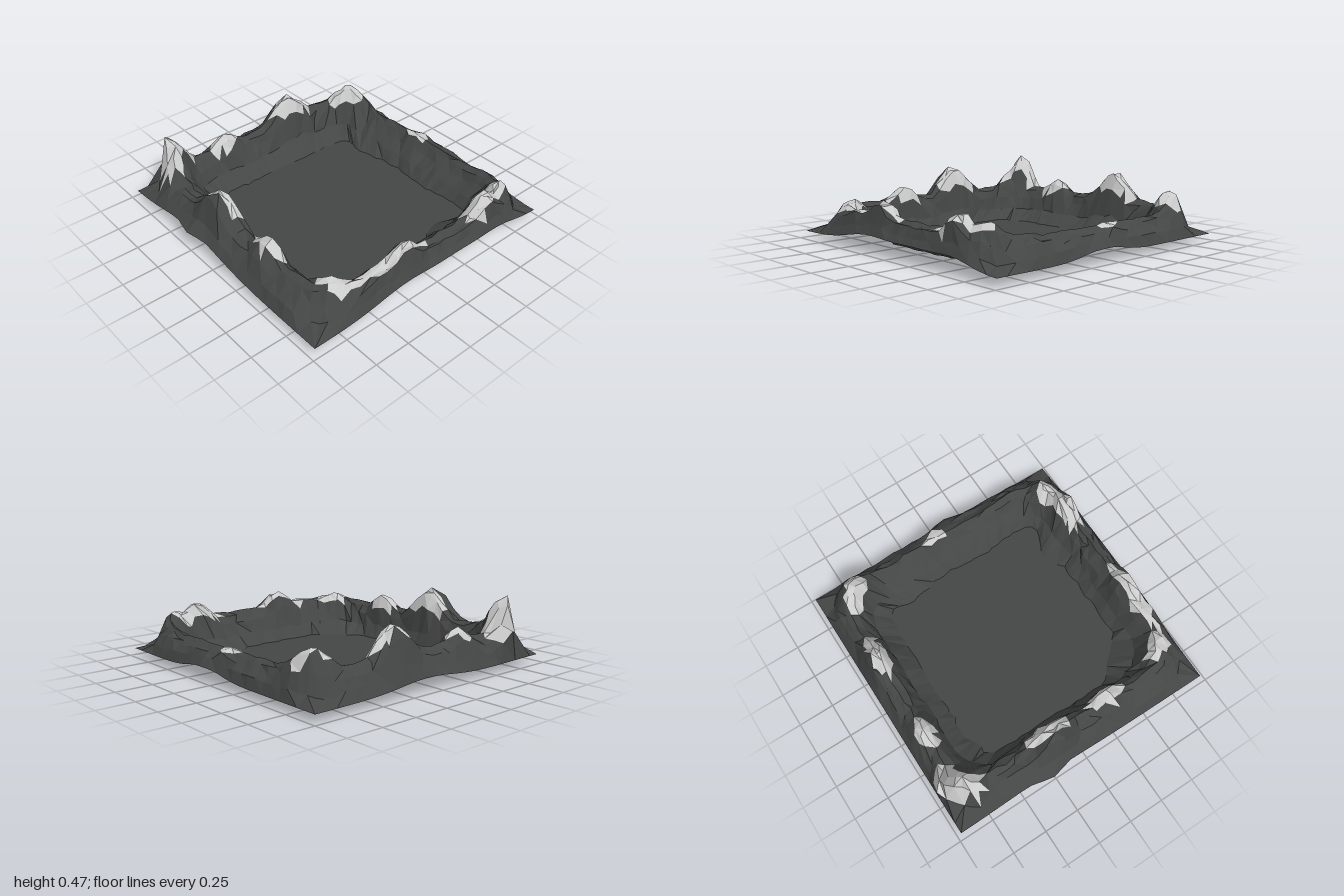
import * as THREE from 'three';

const N = 25; // segments per side of the basin

// Rings from outer edge to floor: left, right, back, front, height, corner radius, peak share, roughness
const RINGS = [
  [-0.97, 0.97, -0.975, 0.965, 0, 0, 0, 0],
  [-0.935, 0.945, -0.95, 0.92, 0.12, 0.26, 0.35, 0.006],
  [-0.905, 0.92, -0.92, 0.86, 0.18, 0.27, 0.85, 0.01],
  [-0.87, 0.89, -0.88, 0.81, 0.215, 0.26, 1, 0.012],
  [-0.83, 0.86, -0.85, 0.77, 0.235, 0.24, 1, 0.012],
  [-0.795, 0.83, -0.82, 0.735, 0.21, 0.23, 1, 0.012],
  [-0.76, 0.79, -0.78, 0.71, 0.16, 0.21, 0.7, 0.012],
  [-0.715, 0.74, -0.71, 0.685, 0.075, 0.18, 0.2, 0.012],
  [-0.6, 0.67, -0.64, 0.635, 0, 0.09, 0, 0.012],
];

// Peaks: x, z, top height, reach
const PEAKS = [
  [-0.84, 0.74, 0.49, 0.15], [-0.75, 0.77, 0.33, 0.13], [-0.18, 0.78, 0.41, 0.23],
  [0.29, 0.77, 0.32, 0.14], [0.75, 0.66, 0.28, 0.15], [0.86, 0.18, 0.33, 0.16],
  [0.86, 0.42, 0.25, 0.15], [0.84, -0.55, 0.35, 0.16], [0.8, -0.74, 0.31, 0.12],
  [-0.72, -0.79, 0.35, 0.17], [-0.82, -0.26, 0.41, 0.22], [-0.83, 0.3, 0.31, 0.14],
  [-0.04, -0.86, 0.25, 0.1],
];

// Pale caps: x, z, half width, half depth
const CAPS = [
  [-0.88, 0.66, 0.09, 0.13], [-0.79, 0.77, 0.12, 0.08], [-0.19, 0.76, 0.17, 0.06],
  [0.29, 0.765, 0.14, 0.065], [0.75, 0.65, 0.14, 0.08], [0.865, 0.28, 0.05, 0.29],
  [0.86, -0.49, 0.07, 0.13], [0.82, -0.67, 0.07, 0.13], [-0.69, -0.82, 0.08, 0.08],
  [-0.74, -0.7, 0.08, 0.11], [-0.82, -0.28, 0.065, 0.17], [-0.83, 0.32, 0.06, 0.12],
  [-0.04, -0.86, 0.08, 0.055],
];

// Swells of the outer edge: x, z, height, reach
const SWELLS = [
  [-0.3, 0.965, 0.09, 0.42], [0.97, 0.22, 0.07, 0.32], [0.97, -0.25, 0.05, 0.25],
  [0.97, -0.6, 0.055, 0.22], [0.1, -0.975, 0.05, 0.22], [-0.97, -0.1, 0.04, 0.3],
];

// Places where the floor outline shifts: x, z, shift in x, shift in z, reach
const FLOOR_SHIFTS = [
  [0.64, 0.6, -0.12, -0.12, 0.24], [0.66, -0.4, -0.09, 0, 0.18], [-0.58, 0.56, 0.04, -0.03, 0.1],
  [-0.4, -0.64, 0, 0.03, 0.2], [-0.05, -0.64, 0, -0.03, 0.2], [0.5, -0.64, 0, -0.04, 0.2],
];

function noise(a, b) {
  const s = Math.sin(a * 127.1 + b * 311.7) * 43758.5453;
  return (s - Math.floor(s)) * 2 - 1;
}

// Height after pulling a base height up towards the nearby peaks
function raise(x, z, base, share) {
  let y = base;
  for (const [px, pz, top, reach] of PEAKS) {
    const f = THREE.MathUtils.clamp(1.15 * (1 - Math.hypot(x - px, z - pz) / reach), 0, 1);
    y = Math.max(y, base + (top - base) * f * share);
  }
  return y;
}

function swell(x, z) {
  return SWELLS.reduce((sum, [sx, sz, h, r]) =>
    sum + h * Math.exp(-(((x - sx) ** 2 + (z - sz) ** 2) / (r * r))), 0);
}

// Point k on a rounded rectangle, starting at the front left in plan
function ringPoint([l, r, b, f, , radius], k) {
  const side = Math.floor(k / N) % 4;
  const s = -1 + (2 * (k % N)) / N;
  const [u, v] = [[s, 1], [1, -s], [-s, -1], [-1, s]][side];
  const hx = (r - l) / 2, hz = (f - b) / 2;
  let x = u * hx, z = v * hz;
  const cx = THREE.MathUtils.clamp(x, radius - hx, hx - radius);
  const cz = THREE.MathUtils.clamp(z, radius - hz, hz - radius);
  const d = Math.hypot(x - cx, z - cz);
  if (radius > 0 && d > radius) {
    x = cx + ((x - cx) * radius) / d;
    z = cz + ((z - cz) * radius) / d;
  }
  return [x + (l + r) / 2, z + (b + f) / 2];
}

function terrainPoint(i, k) {
  k %= 4 * N;
  const ring = RINGS[i];
  const [, , , , height, , share, rough] = ring;
  let [x, z] = ringPoint(ring, k);
  if (i === 0) {
    // Thin outer lip with a small bulge at the front and the back
    const y = 0.05 + swell(x, z);
    if (z > 0.96) z += 0.04 * Math.max(0, 1 - Math.abs(x + 0.28) / 0.16);
    if (z < -0.97) z -= 0.025 * Math.max(0, 1 - Math.abs(x - 0.1) / 0.14);
    return new THREE.Vector3(x, y, z);
  }
  x += noise(i, k) * rough;
  z += noise(i + 20, k) * rough;
  if (i > 6) {
    // Uneven floor outline, fading up the inner slope
    const amount = i === 8 ? 1 : 0.25;
    const [x0, z0] = ringPoint(RINGS[8], k);
    for (const [fx, fz, dx, dz, reach] of FLOOR_SHIFTS) {
      const f = amount * Math.max(0, 1 - Math.hypot(x0 - fx, z0 - fz) / reach);
      x += dx * f;
      z += dz * f;
    }
    if (i === 8) return new THREE.Vector3(x, 0, z);
  }
  let y = raise(x, z, height, share);
  y += noise(i + 40, k) * (0.007 + Math.max(0, y - height) * 0.08);
  if (i < 3) {
    // Outer slope follows the lip and flattens towards the corners
    const corner = Math.max(0, Math.min(Math.abs(x), Math.abs(z)) - 0.72) / 0.16;
    y += swell(x, z) * 0.6 - 0.04 * Math.min(1, corner);
  }
  // Lower ridge along the back
  if (i > 1 && i < 7 && z < -0.6 && Math.abs(x) < 0.55) y -= 0.025;
  // Front left crag leans out over the edge
  if (i < 4) {
    const lean = Math.max(0, 1 - Math.hypot(x + 0.93, z - 0.68) / 0.16);
    x -= 0.04 * lean;
    y += (0.1 * lean) / i;
  }
  return new THREE.Vector3(THREE.MathUtils.clamp(x, -0.97, 0.97), Math.min(y, 0.49), z);
}

const inCap = (p) => CAPS.some(([x, z, a, b]) => ((p.x - x) / a) ** 2 + ((p.z - z) / b) ** 2 < 1);

function surface(name, points, color) {
  const geometry = new THREE.BufferGeometry().setFromPoints(points);
  geometry.computeVertexNormals();
  const mesh = new THREE.Mesh(geometry, new THREE.MeshStandardMaterial({
    color, flatShading: true, side: THREE.DoubleSide,
  }));
  mesh.name = name;
  return mesh;
}

export function createModel() {
  const rock = [], caps = [], floor = [];
  const mid = new THREE.Vector3();
  const addTriangle = (a, b, c) => {
    mid.copy(a).add(b).add(c).divideScalar(3);
    (inCap(mid) && mid.y > 0.2 ? caps : rock).push(a, b, c);
  };

  // Ridge: bands of triangles between neighbouring rings
  const grid = RINGS.map((_, i) => Array.from({ length: 4 * N + 1 }, (_, k) => terrainPoint(i, k)));
  for (let i = 0; i < RINGS.length - 1; i++) {
    for (let k = 0; k < 4 * N; k++) {
      const a = grid[i][k], b = grid[i][k + 1], c = grid[i + 1][k + 1], d = grid[i + 1][k];
      if ((i + k) % 2) {
        addTriangle(a, b, c);
        addTriangle(a, c, d);
      } else {
        addTriangle(a, b, d);
        addTriangle(b, c, d);
      }
    }
  }

  // Flat basin floor
  const centre = new THREE.Vector3(0.03, 0, 0);
  const rim = grid[RINGS.length - 1];
  for (let k = 0; k < 4 * N; k++) floor.push(rim[k], rim[k + 1], centre);

  const group = new THREE.Group();
  group.name = 'rockyBasin';
  group.add(
    surface('ridge', rock, 0x444645),
    surface('peakCaps', caps, 0xcccccc),
    surface('basinFloor', floor, 0x444645),
  );
  return group;
}
